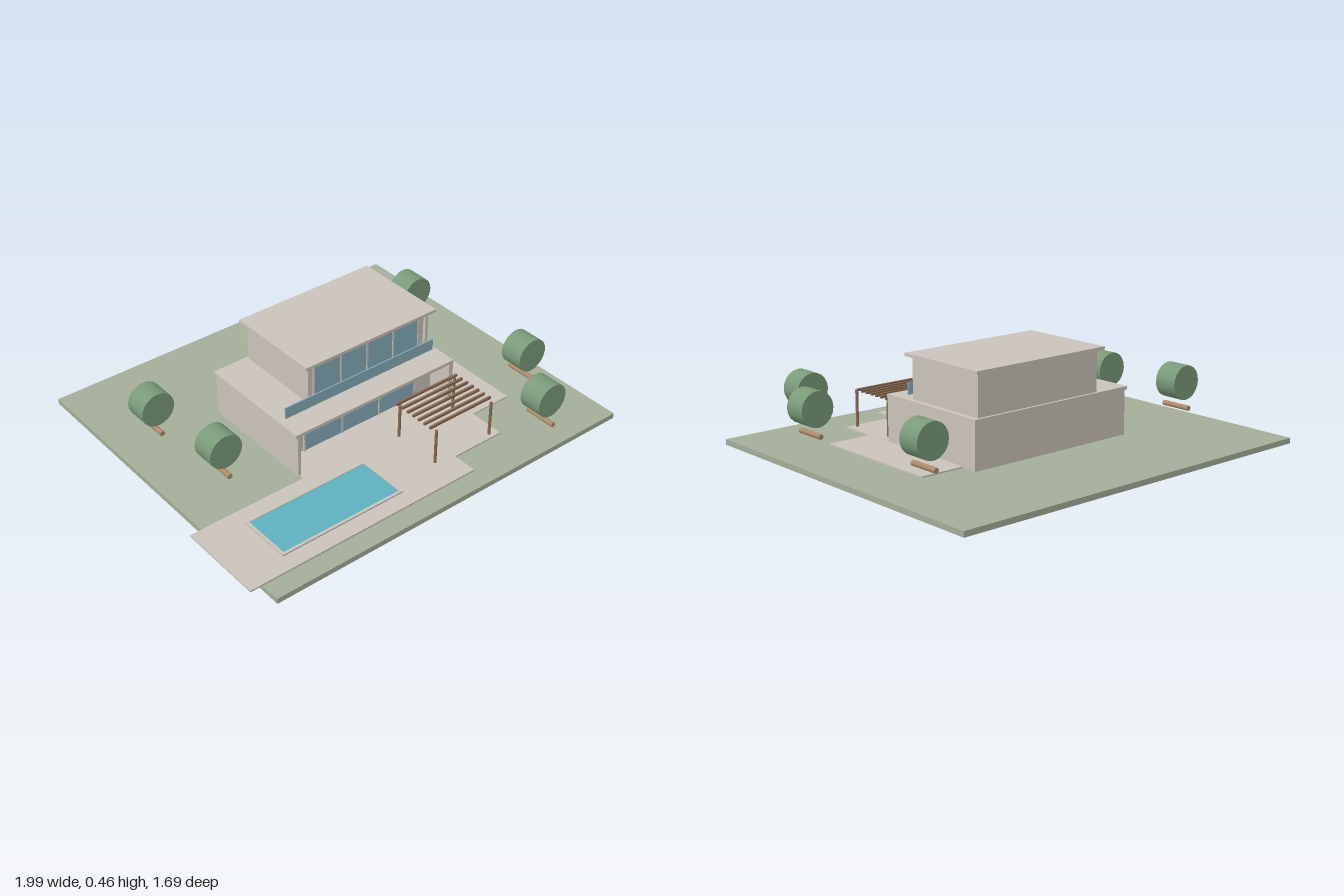
import * as THREE from 'three';

const mat = (name, color, extra = {}) => {
  const m = new THREE.MeshStandardMaterial({ color, ...extra });
  m.name = name;
  return m;
};

export function createModel() {
  const model = new THREE.Group();
  model.name = 'villa';
  const grass = mat('grass', 0xa4ae98);
  const plaster = mat('plaster', 0xcac3ba);
  const glass = mat('glass', 0x84adb8);
  const water = mat('water', 0x5fb0c0);
  const leaves = mat('leaves', 0x7a9a7a);
  const wood = mat('wood', 0x8a6a50);
  const bark = mat('bark', 0xac8a6c);

  // Box given by its limits on each axis
  const box = (name, m, x0, x1, y0, y1, z0, z1, parent = model) => {
    const mesh = new THREE.Mesh(new THREE.BoxGeometry(x1 - x0, y1 - y0, z1 - z0), m);
    mesh.position.set((x0 + x1) / 2, (y0 + y1) / 2, (z0 + z1) / 2);
    mesh.name = name;
    parent.add(mesh);
    return mesh;
  };
  const group = (name) => {
    const g = new THREE.Group();
    g.name = name;
    model.add(g);
    return g;
  };

  // Lawn and paving
  box('lawn', grass, -0.94, 0.995, 0, 0.026, -0.845, 0.845);
  box('poolDeck', plaster, -1, 0.205, 0.026, 0.035, 0.33, 0.75);
  box('frontTerrace', plaster, -0.41, 0.48, 0.026, 0.0345, 0.1, 0.63);
  box('sideTerrace', plaster, 0.47, 0.7, 0.026, 0.033, -0.22, 0.45);

  // Pool: four rim strips around the water
  const pool = group('pool');
  box('rimBack', plaster, -0.78, -0.135, 0.035, 0.043, 0.41, 0.423, pool);
  box('rimFront', plaster, -0.78, -0.135, 0.035, 0.043, 0.659, 0.672, pool);
  box('rimRight', plaster, -0.78, -0.767, 0.035, 0.043, 0.423, 0.659, pool);
  box('rimLeft', plaster, -0.148, -0.135, 0.035, 0.043, 0.423, 0.659, pool);
  box('poolWater', water, -0.767, -0.148, 0.035, 0.04, 0.423, 0.659, pool);

  // A row of glass panes with slim uprights between them
  const windowRow = (parent, count, x0, x1, y0, y1, z) => {
    box('glazing', glass, x0, x1, y0, y1, z, z + 0.005, parent);
    for (let i = 0; i <= count; i++) {
      const x = x0 + ((x1 - x0) * i) / count;
      box('mullion', plaster, x - 0.004, x + 0.004, y0, y1, z, z + 0.009, parent);
    }
  };

  // Ground floor: core, side walls and slab around a sheltered front
  const lower = group('groundFloor');
  box('core', plaster, -0.415, 0.48, 0.026, 0.238, -0.3, 0.18, lower);
  box('rightWall', plaster, -0.415, -0.4, 0.026, 0.238, 0.18, 0.303, lower);
  box('leftWall', plaster, 0.457, 0.48, 0.026, 0.238, 0.18, 0.303, lower);
  box('balconySlab', plaster, -0.425, 0.482, 0.238, 0.254, -0.305, 0.303, lower);
  windowRow(lower, 3, -0.29, 0.355, 0.036, 0.226, 0.18);

  // Upper floor
  const upper = group('upperFloor');
  box('core', plaster, -0.24, 0.455, 0.254, 0.448, -0.293, 0.135, upper);
  box('rightWall', plaster, -0.24, -0.225, 0.254, 0.448, 0.135, 0.15, upper);
  box('leftWall', plaster, 0.44, 0.455, 0.254, 0.448, 0.135, 0.15, upper);
  box('roof', plaster, -0.267, 0.48, 0.448, 0.463, -0.315, 0.172, upper);
  windowRow(upper, 4, -0.2, 0.405, 0.262, 0.442, 0.135);

  // Glass balcony rail
  box('balconyRail', glass, -0.395, 0.452, 0.266, 0.322, 0.186, 0.192);

  // Pergola: seven slats over four posts
  const pergola = group('pergola');
  for (let i = 0; i < 7; i++) {
    const z = 0.36 + i * 0.0365;
    box('slat', wood, 0.09, 0.45, 0.21, 0.222, z - 0.005, z + 0.005, pergola);
  }
  const postGeo = new THREE.CylinderGeometry(0.007, 0.007, 0.178, 12);
  for (const x of [0.107, 0.433]) {
    for (const z of [0.365, 0.605]) {
      const post = new THREE.Mesh(postGeo, wood);
      post.position.set(x, 0.121, z);
      post.name = 'post';
      pergola.add(post);
    }
  }

  // Trees: crown and trunk are cylinders lying along z
  const crownGeo = new THREE.CylinderGeometry(0.083, 0.083, 0.115, 20).rotateX(Math.PI / 2);
  const trunkGeo = new THREE.CylinderGeometry(0.0125, 0.0125, 0.155, 12).rotateX(Math.PI / 2);
  const spots = [[-0.76, -0.308], [-0.7, 0.12], [0.755, -0.308], [0.815, 0.42], [0.633, 0.725]];
  for (const [x, z] of spots) {
    const tree = group('tree');
    tree.position.set(x, 0, z);
    const crown = new THREE.Mesh(crownGeo, leaves);
    crown.name = 'crown';
    crown.position.y = 0.227;
    const trunk = new THREE.Mesh(trunkGeo, bark);
    trunk.name = 'trunk';
    trunk.position.y = 0.107;
    tree.add(crown, trunk);
  }
  return model;
}
